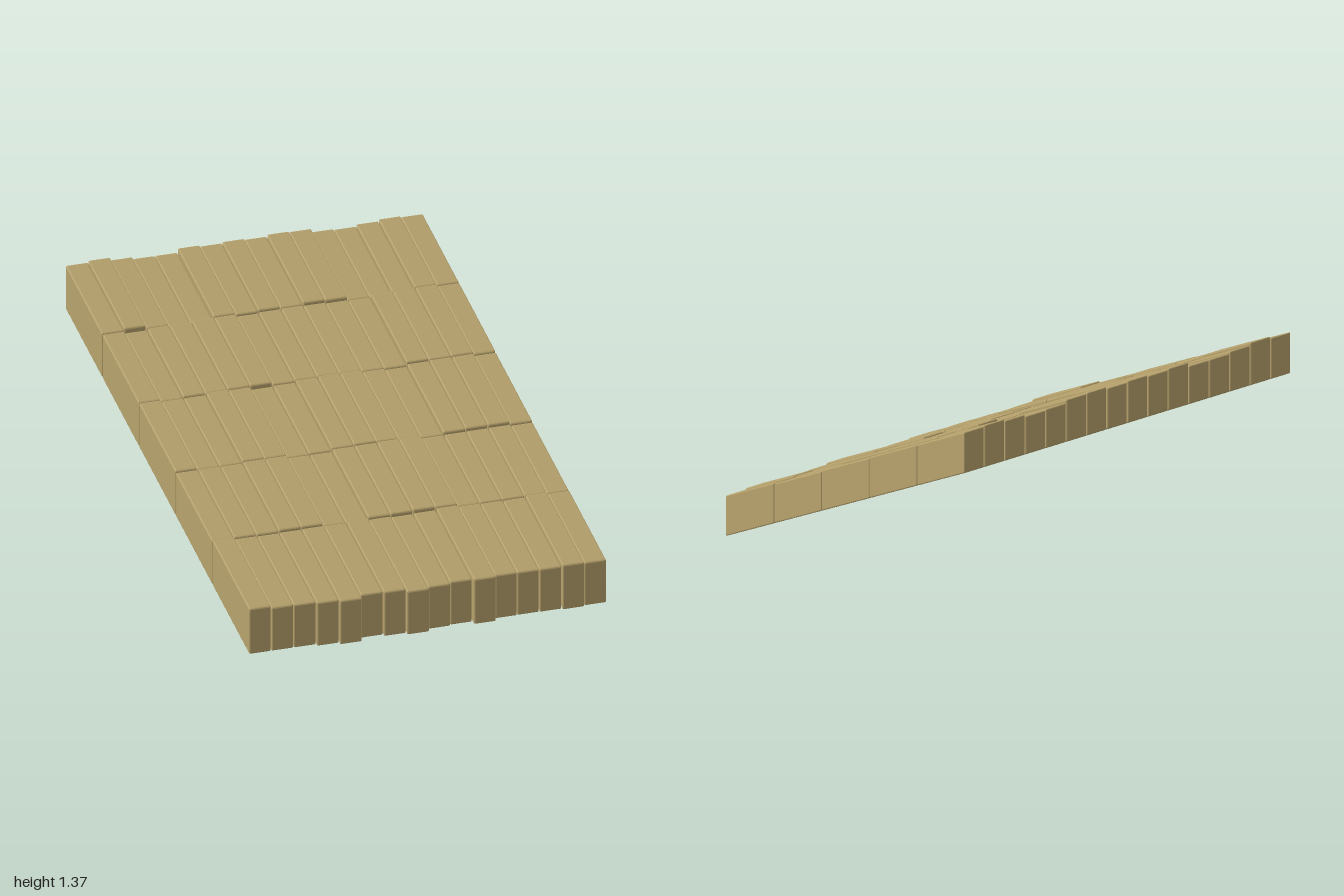
import * as THREE from 'three';
import { RoundedBoxGeometry } from 'three/addons/geometries/RoundedBoxGeometry.js';

const SLOPE = Math.tan(Math.PI / 6);
const COLUMNS = 16, PITCH_X = 0.1169, PITCH_Z = 0.3955;
const THICK = 0.215, GAP = 0.003, BEVEL = 0.006;

// Uneven block tops in thousandths, one list per row from the low front to the high back
const TOPS = [
  [8, -2, -4, -2, 0, -2, 3, -2, -6, -3, 6, -2, -4, -4, 4, -3],
  [0, 1, 0, 6, 6, -7, -7, 4, 6, 9, 7, -6, -4, -3, -2, -7],
  [3, -4, -3, 6, 4, -10, -6, 4, 8, 6, -2, -8, 4, 7, 8, -3],
  [1, -8, 0, 0, 5, 6, -5, 0, 2, 0, -4, -6, 9, 6, 9, 0],
  [1, 10, -4, -14, -14, 6, 0, 6, 1, 10, 7, -10, -14, -4, 5, 0],
];
// How far each front block pokes out down the slope, in thousandths
const OVERHANG = [0, 0, 0, 9, 19, 0, 9, 19, 5, 0, 15, 1, 0, 1, 6, 1];

// Bevelled box with vertical ends, sheared to follow the slope
function rampBlock(x, zBack, zFront, height) {
  const geometry = new RoundedBoxGeometry(PITCH_X - GAP, height, zFront - zBack, 1, BEVEL);
  geometry.translate(x, height / 2, (zFront + zBack) / 2);
  const p = geometry.attributes.position;
  for (let i = 0; i < p.count; i++) {
    p.setY(i, p.getY(i) + (1 - p.getZ(i)) * SLOPE);
  }
  geometry.computeVertexNormals();
  return geometry;
}

export function createModel() {
  const model = new THREE.Group();
  model.name = 'ramp';
  const wood = new THREE.MeshStandardMaterial({ color: 0xb8a36d, flatShading: true });
  wood.name = 'tan wood';

  TOPS.forEach((tops, row) => {
    const group = new THREE.Group();
    group.name = `plankRow${row + 1}`;
    const zBack = -1 + (TOPS.length - 1 - row) * PITCH_Z;
    tops.forEach((top, column) => {
      const x = (column - (COLUMNS - 1) / 2) * PITCH_X;
      const zFront = zBack + PITCH_Z - GAP + (row === 0 ? 0.006 + OVERHANG[column] / 1000 : 0);
      const plank = new THREE.Mesh(rampBlock(x, zBack, zFront, THICK + top / 1000), wood);
      plank.name = `plank${column + 1}`;
      group.add(plank);
    });
    model.add(group);
  });
  return model;
}
